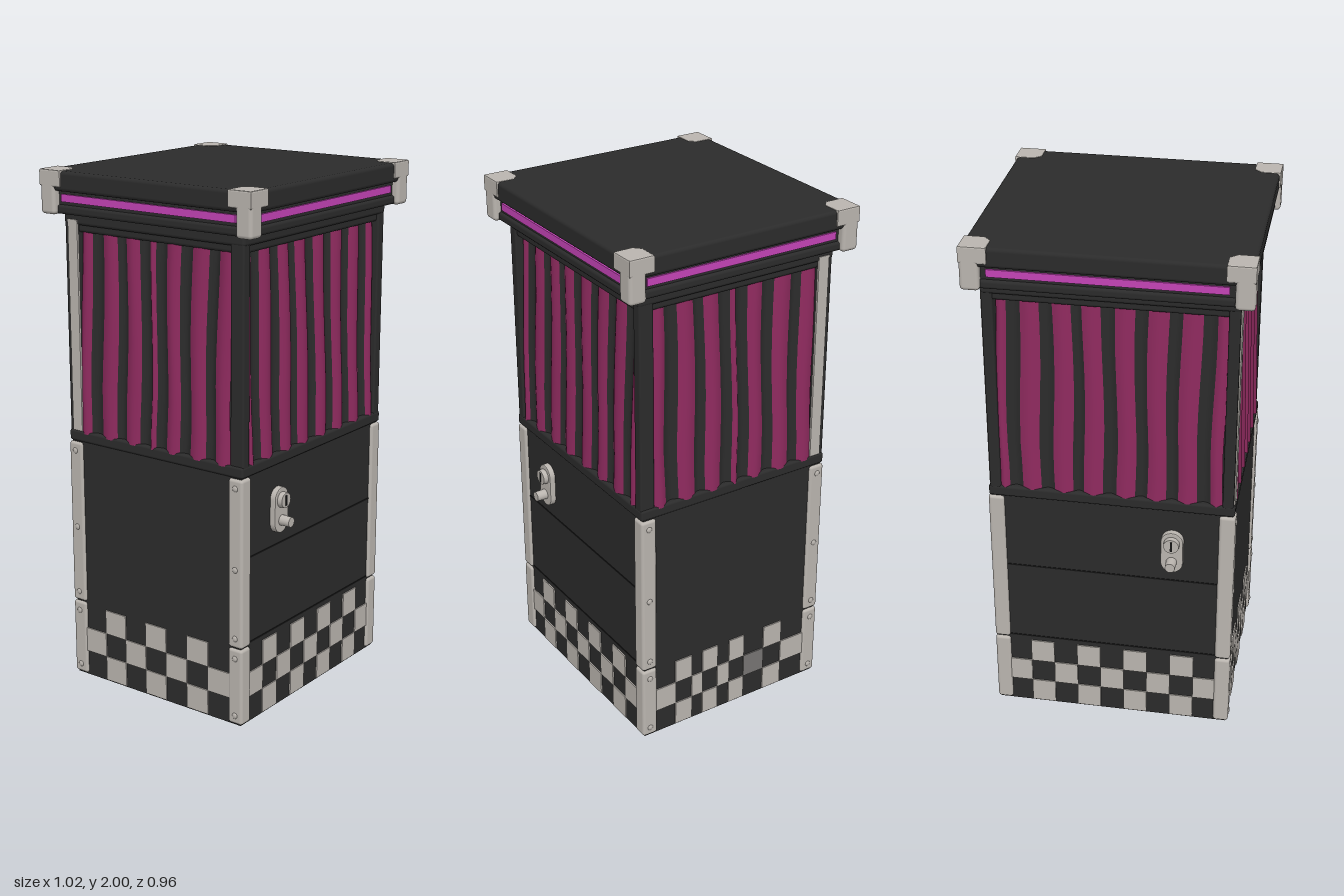
import * as THREE from 'three';
import { RoundedBoxGeometry } from 'three/addons/geometries/RoundedBoxGeometry.js';

const mat = (name, color, side = THREE.FrontSide) => {
  const m = new THREE.MeshStandardMaterial({ color, side });
  m.name = name;
  return m;
};

export function createModel() {
  const dark = mat('charcoal', 0x2b2b2b);
  const black = mat('seam black', 0x171717);
  const pale = mat('pale trim', 0xbab5af);
  const grey = mat('worn grey', 0x777573);
  const neon = mat('neon pink', 0xc443b6);
  const darkCloth = mat('charcoal cloth', 0x2b2b2b, THREE.DoubleSide);
  const pinkCloth = mat('magenta cloth', 0x8e2a5e, THREE.DoubleSide);

  const booth = new THREE.Group();
  booth.name = 'booth';

  const add = (parent, name, geometry, material, x = 0, y = 0, z = 0) => {
    const m = new THREE.Mesh(geometry, material);
    m.name = name;
    m.position.set(x, y, z);
    parent.add(m);
    return m;
  };
  // Box given by its lower and upper corners, optionally rounded
  const box = (parent, name, material, [x0, x1], [y0, y1], [z0, z1], r = 0) => {
    const s = [x1 - x0, y1 - y0, z1 - z0];
    const g = r ? new RoundedBoxGeometry(...s, 2, r) : new THREE.BoxGeometry(...s);
    return add(parent, name, g, material, (x0 + x1) / 2, (y0 + y1) / 2, (z0 + z1) / 2);
  };
  const sym = (a) => [-a, a];

  // Main body and frame
  box(booth, 'lowerBody', dark, sym(0.455), [0, 0.98], sym(0.4));
  box(booth, 'upperCore', dark, sym(0.405), [0.98, 1.86], sym(0.35));
  box(booth, 'belt', dark, sym(0.462), [0.968, 1.012], sym(0.41), 0.01);
  box(booth, 'windowHeader', dark, sym(0.445), [1.772, 1.83], sym(0.4), 0.012);
  box(booth, 'headerLip', dark, sym(0.458), [1.8, 1.855], sym(0.412), 0.012);

  // Roof: lower rim, recessed light channel, lid
  box(booth, 'roofRim', dark, sym(0.49), [1.84, 1.875], sym(0.46), 0.012);
  box(booth, 'roofChannel', dark, sym(0.48), [1.86, 1.94], sym(0.45));
  box(booth, 'roofLid', dark, sym(0.504), [1.925, 2], sym(0.473), 0.014);

  // Corner pieces
  const capShape = new THREE.Shape([
    [0.41, 0.478], [0.41, 0.405], [0.436, 0.38], [0.51, 0.38], [0.51, 0.478],
  ].map(([x, y]) => new THREE.Vector2(x, y)));
  for (const sx of [1, -1]) for (const sz of [1, -1]) {
    const span = (s, a, b) => (s > 0 ? [a, b] : [-b, -a]);
    const corner = new THREE.Group();
    corner.name = 'corner';
    booth.add(corner);
    for (const [y0, y1] of [[0.005, 0.308], [0.312, 0.965]]) {
      box(corner, 'cornerGuard', pale, span(sx, 0.405, 0.465), [y0, y1], span(sz, 0.347, 0.411), 0.012);
    }
    for (const y of [0.04, 0.27, 0.35, 0.62, 0.93]) {
      const rivet = add(corner, 'rivet', new THREE.SphereGeometry(0.012, 10, 6), pale, sx * 0.464, y, sz * 0.38);
      rivet.scale.x = 0.5;
    }
    box(corner, 'windowPost', dark, span(sx, 0.415, 0.456), [1, 1.84], span(sz, 0.35, 0.409), 0.008);
    if (sz < 0) {
      box(corner, 'postStrip', pale, span(sx, 0.452, 0.461), [1.012, 1.82], [-0.39, -0.345]);
    }
    // Roof corner: upright block with a chamfered cap
    box(corner, 'roofCornerBlock', pale, span(sx, 0.44, 0.51), [1.838, 1.99], span(sz, 0.41, 0.478), 0.014);
    const shape = new THREE.Shape(capShape.getPoints().map((p) => new THREE.Vector2(p.x * sx, p.y * sz)));
    const cap = add(corner, 'roofCornerCap', new THREE.ExtrudeGeometry(shape, {
      depth: 0.05, bevelEnabled: true, bevelSize: 0.004, bevelThickness: 0.006, bevelSegments: 2, bevelOffset: -0.004,
    }), pale, 0, 1.997, 0);
    cap.rotation.x = Math.PI / 2;
  }

  // One pleat of curtain: bows out or in, and leans outward to the hem
  const pleat = (parent, x0, x1, out, top, bottom) => {
    const g = new THREE.PlaneGeometry(1, 1, 6, 8);
    const p = g.attributes.position;
    for (let i = 0; i < p.count; i++) {
      const u = p.getX(i) + 0.5, v = p.getY(i) + 0.5;
      const sway = 0.006 * Math.sin(v * 5 + (x0 + u * (x1 - x0)) * 9) * Math.min(1, v * 4);
      const bow = 0.011 * Math.sin(Math.PI * u) * (out ? 1 : -1);
      p.setXYZ(i, x0 + u * (x1 - x0) + sway, 1.003 + v * 0.772, bottom + (top - bottom) * v + bow);
    }
    g.computeVertexNormals();
    add(parent, out ? 'curtainFold' : 'curtainGap', g, out ? pinkCloth : darkCloth);
  };

  // Door lock: rounded plate, lock barrel with key slot, round knob
  const addLock = (parent, x, face) => {
    const lock = new THREE.Group();
    lock.name = 'lock';
    lock.position.set(x, 0, face);
    parent.add(lock);
    const round = (name, r, depth, y, m = pale) => {
      add(lock, name, new THREE.CylinderGeometry(r * 0.9, r, depth, 24), m, 0, y, depth / 2).rotation.x = Math.PI / 2;
    };
    const plate = new THREE.Shape();
    plate.absarc(0, 0.84, 0.038, 0, Math.PI);
    plate.absarc(0, 0.748, 0.038, Math.PI, Math.PI * 2);
    add(lock, 'lockPlate', new THREE.ExtrudeGeometry(plate, {
      depth: 0.018, bevelSize: 0.004, bevelThickness: 0.005, bevelSegments: 2, curveSegments: 12,
    }), pale);
    round('lockBarrel', 0.032, 0.042, 0.835);
    box(lock, 'keySlot', black, sym(0.004), [0.815, 0.855], [0.038, 0.044]);
    round('knobStem', 0.016, 0.06, 0.755);
    round('knob', 0.021, 0.066, 0.755);
  };

  // Curtain and checker divisions along each wall
  const wideFolds = [-0.415, -0.38, -0.33, -0.26, -0.21, -0.14, -0.1, -0.03, 0.02, 0.09, 0.135, 0.205, 0.25, 0.32, 0.37, 0.415];
  const sideFolds = [-0.35, -0.3, -0.245, -0.175, -0.13, -0.065, -0.015, 0.01, 0.06, 0.12, 0.17, 0.24, 0.285, 0.35];
  const wideCells = Array.from({ length: 10 }, (_, i) => -0.414 + i * 0.092);
  const evenCells = Array.from({ length: 8 }, (_, i) => -0.35 + i * 0.1);
  const unevenCells = [-0.35, -0.26, -0.185, -0.135, -0.065, -0.01, 0.06, 0.155, 0.24, 0.35];

  const walls = [
    { name: 'frontWall', turn: 0, face: 0.4, folds: wideFolds, cells: wideCells, lock: -0.233, reach: 0.42, roof: 0.45 },
    { name: 'leftWall', turn: 1, face: 0.455, folds: sideFolds, cells: unevenCells, reach: 0.395, roof: 0.48, worn: 6 },
    { name: 'backWall', turn: 2, face: 0.4, folds: wideFolds, cells: wideCells, lock: 0.233, reach: 0.42, roof: 0.45 },
    { name: 'rightWall', turn: 3, face: 0.455, folds: sideFolds, cells: evenCells, reach: 0.395, roof: 0.48 },
  ];
  for (const w of walls) {
    const wall = new THREE.Group();
    wall.name = w.name;
    wall.rotation.y = w.turn * Math.PI / 2;
    booth.add(wall);

    for (let i = 0; i + 1 < w.folds.length; i++) {
      pleat(wall, w.folds[i], w.folds[i + 1], i % 2 === 0, w.face - 0.025, w.face - 0.002);
    }
    // Chequered kick band, three rows high
    for (let row = 0; row < 3; row++) for (let i = 0; i + 1 < w.cells.length; i++) {
      const worn = i === w.worn && row === 1;
      if ((i + row) % 2 === 0 && !worn) continue;
      box(wall, worn ? 'wornTile' : 'checkerTile', worn ? grey : pale, [w.cells[i], w.cells[i + 1]],
        [0.005 + row * 0.098, 0.103 + row * 0.098], [w.face - 0.002, w.face + 0.005]);
    }
    box(wall, 'neonStrip', neon, sym(w.reach), [1.886, 1.914], [w.roof - 0.002, w.roof + 0.007]);

    if (w.lock) {
      for (const y of [0.32, 0.655]) {
        box(wall, 'panelSeam', black, sym(0.405), [y - 0.003, y + 0.003], [w.face - 0.002, w.face + 0.002]);
      }
      addLock(wall, w.lock, w.face);
    }
  }
  return booth;
}
